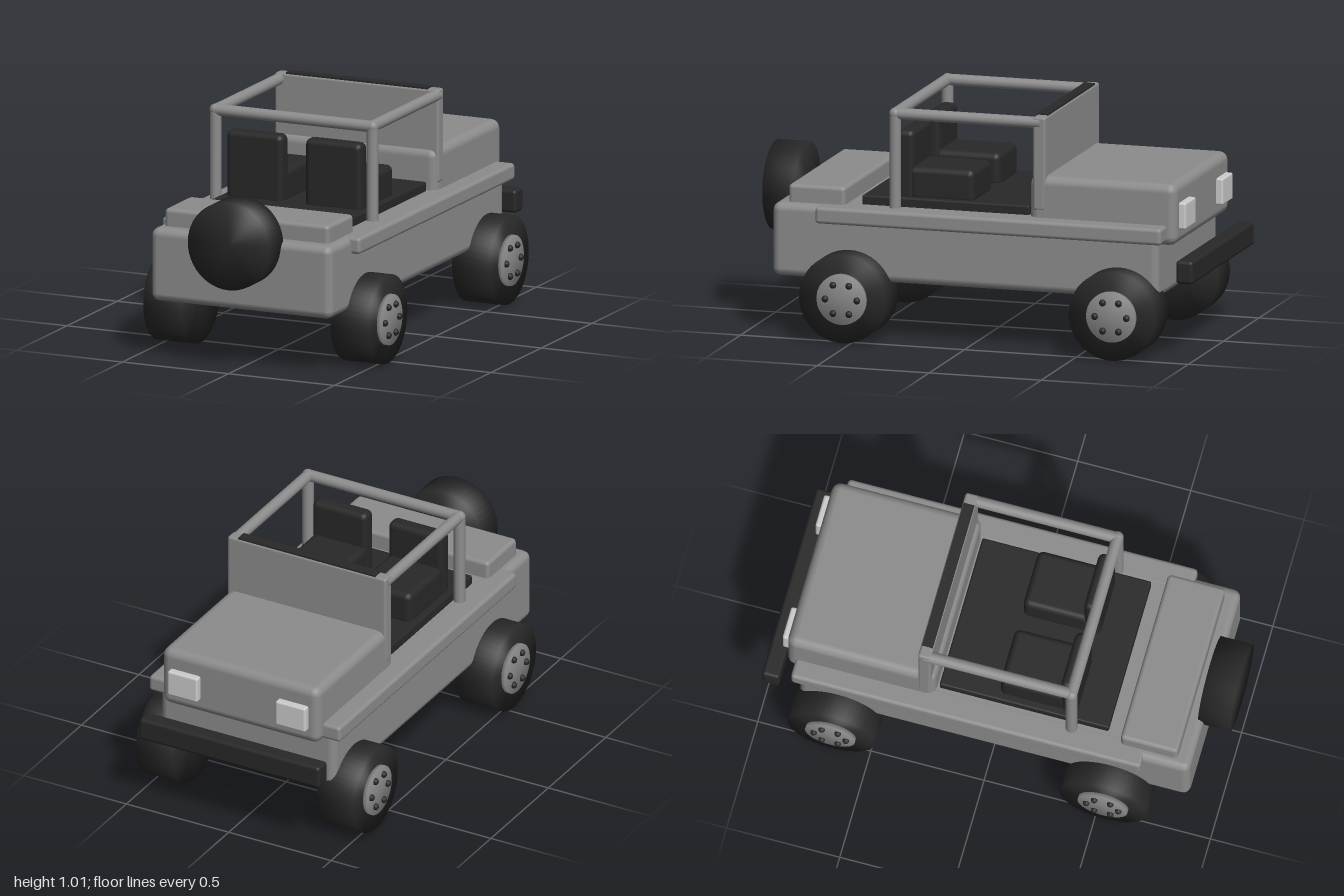
import * as THREE from 'three';
import { mergeVertices } from 'three/addons/utils/BufferGeometryUtils.js';
import { RoundedBoxGeometry } from 'three/addons/geometries/RoundedBoxGeometry.js';

export function createModel() {
  const model = new THREE.Group();
  model.name = 'openTopOffRoader';

  const material = (name, color) => {
    const m = new THREE.MeshStandardMaterial({ color });
    m.name = name;
    return m;
  };
  const bodyGray = material('bodyGray', 0x8c8c8c);
  const black = material('black', 0x282828);
  const lampWhite = material('lampWhite', 0xcccccc);

  const add = (name, geometry, mat, parent = model) => {
    const mesh = new THREE.Mesh(geometry, mat);
    mesh.name = name;
    parent.add(mesh);
    return mesh;
  };

  // Box with softened edges, given by its extents on each axis
  const block = (name, [x0, x1], [y0, y1], [z0, z1], radius, mat, parent) => {
    const geometry = new RoundedBoxGeometry(x1 - x0, y1 - y0, z1 - z0, 2, radius);
    const mesh = add(name, geometry, mat, parent);
    mesh.position.set((x0 + x1) / 2, (y0 + y1) / 2, (z0 + z1) / 2);
    return mesh;
  };

  // Cylinder whose normals run smoothly over the rim
  const softDisc = (radius, width) => {
    const g = new THREE.CylinderGeometry(radius, radius, width, 48);
    g.deleteAttribute('normal');
    g.deleteAttribute('uv');
    const merged = mergeVertices(g);
    merged.computeVertexNormals();
    return merged;
  };

  // Body
  block('tub', [-0.427, 0.427], [0.25, 0.57], [-0.84, 0.885], 0.035, bodyGray);
  block('hood', [-0.385, 0.385], [0.48, 0.75], [-0.907, -0.25], 0.04, bodyGray);
  block('rearBox', [-0.387, 0.387], [0.53, 0.647], [0.57, 0.823], 0.018, bodyGray);
  block('cabinFloor', [-0.345, 0.345], [0.55, 0.61], [-0.24, 0.507], 0.008, black);
  block('bumper', [-0.44, 0.44], [0.332, 0.433], [-1, -0.923], 0.015, black);

  // Windscreen panel with a dark strip along its top
  block('windscreen', [-0.387, 0.387], [0.6, 1.008], [-0.325, -0.268], 0.012, bodyGray);
  const strip = add('windscreenStrip', new THREE.BoxGeometry(0.67, 0.009, 0.048), black);
  strip.position.set(0, 1.0085, -0.2965);

  // Roll cage
  const tube = (name, from, to) => {
    const a = new THREE.Vector3(...from), b = new THREE.Vector3(...to);
    const bar = add(name, new THREE.CylinderGeometry(0.025, 0.025, a.distanceTo(b), 20), bodyGray);
    bar.position.copy(a).add(b).multiplyScalar(0.5);
    bar.quaternion.setFromUnitVectors(new THREE.Vector3(0, 1, 0), b.sub(a).normalize());
  };
  tube('rollBarCross', [-0.37, 0.98, 0.35], [0.37, 0.98, 0.35]);

  for (const side of [-1, 1]) {
    const span = (a, b) => (side > 0 ? [a, b] : [-b, -a]);
    const label = side > 0 ? 'left' : 'right';

    tube(label + 'RollBarPost', [side * 0.37, 0.55, 0.35], [side * 0.37, 0.98, 0.35]);
    tube(label + 'RollBarRail', [side * 0.367, 0.98, 0.35], [side * 0.367, 0.98, -0.3]);
    const joint = add(label + 'RollBarJoint', new THREE.SphereGeometry(0.026, 20, 12), bodyGray);
    joint.position.set(side * 0.37, 0.98, 0.35);

    block(label + 'SideRail', span(0.35, 0.467), [0.498, 0.571], [-0.865, 0.68], 0.016, bodyGray);
    block(label + 'Headlight', span(0.19, 0.337), [0.547, 0.664], [-0.937, -0.88], 0.01, lampWhite);

    // Seat
    const seat = new THREE.Group();
    seat.name = label + 'Seat';
    model.add(seat);
    block('cushion', span(0.053, 0.315), [0.59, 0.74], [0.017, 0.31], 0.028, black, seat);
    block('backrest', span(0.053, 0.318), [0.59, 0.897], [0.285, 0.36], 0.025, black, seat);

    // Wheels with hub and six lug nuts
    for (const [end, z] of [['Front', -0.668], ['Rear', 0.536]]) {
      const wheel = new THREE.Group();
      wheel.name = label + end + 'Wheel';
      wheel.position.set(side * 0.4415, 0.193, z);
      model.add(wheel);
      add('tire', softDisc(0.193, 0.179), black, wheel).rotation.z = Math.PI / 2;
      const hub = add('hub', softDisc(0.11, 0.03), bodyGray, wheel);
      hub.rotation.z = Math.PI / 2;
      hub.position.x = side * 0.0915;
      for (let i = 0; i < 6; i++) {
        const angle = (i * Math.PI) / 3;
        const lug = add('lugNut', new THREE.SphereGeometry(0.015, 12, 8), black, wheel);
        lug.position.set(side * 0.109, 0.071 * Math.sin(angle), 0.071 * Math.cos(angle));
      }
    }
  }

  // Spare wheel on the tail
  const spare = add('spareWheel', softDisc(0.192, 0.14), black);
  spare.rotation.x = Math.PI / 2;
  spare.position.set(0, 0.557, 0.93);

  return model;
}
